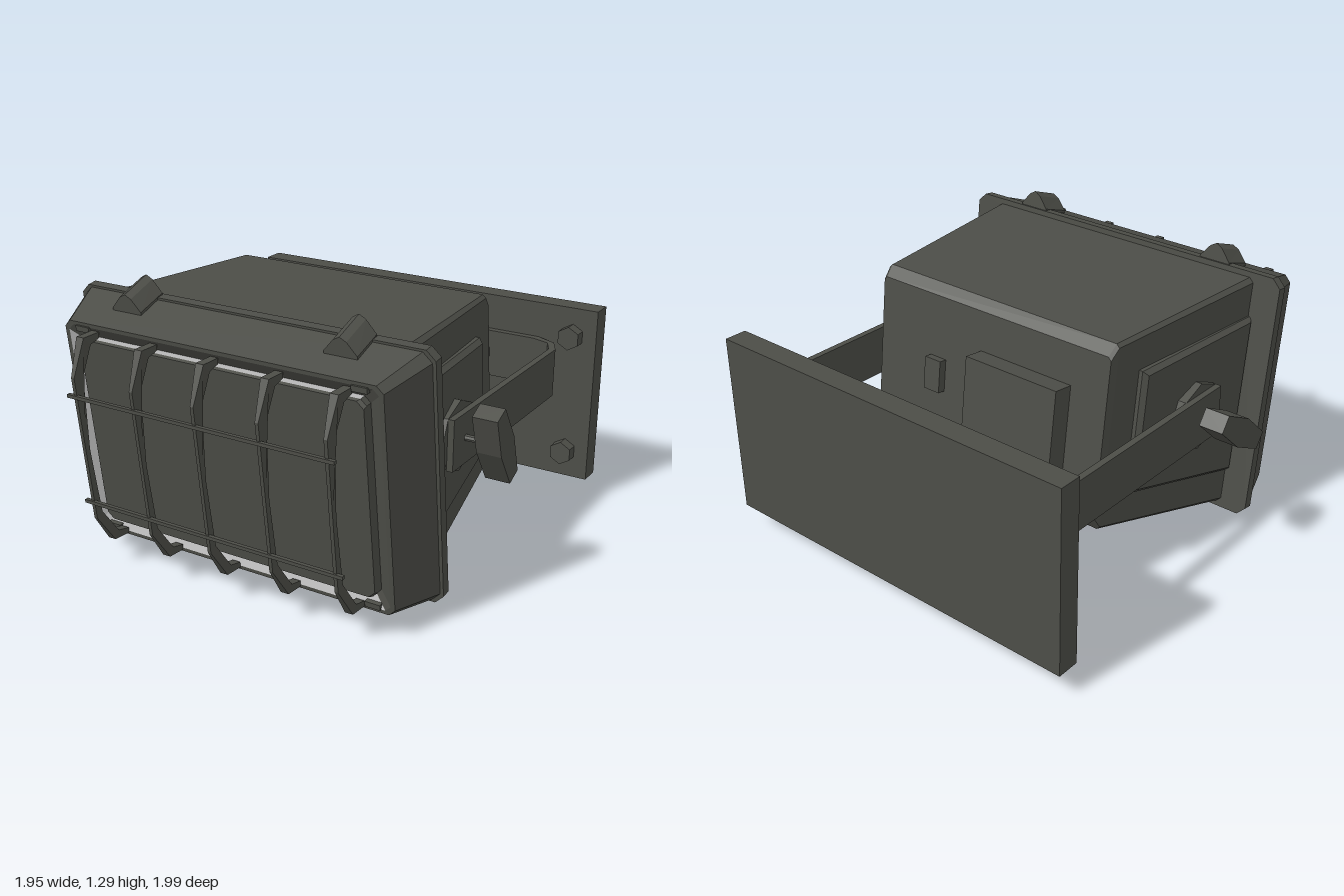
import * as THREE from 'three';

const dark = new THREE.MeshStandardMaterial({ color: 0x4c4d47 });
dark.name = 'dark grey metal';
dark.flatShading = true;
const light = new THREE.MeshStandardMaterial({ color: 0xb4b4b4 });
light.name = 'light grey reflector';
light.flatShading = true;

function add(parent, name, geometry, material = dark) {
  const mesh = new THREE.Mesh(geometry, material);
  mesh.name = name;
  parent.add(mesh);
  return mesh;
}

function box(parent, name, w, h, d, x, y, z) {
  const mesh = add(parent, name, new THREE.BoxGeometry(w, h, d));
  mesh.position.set(x, y, z);
  return mesh;
}

// Skin over chamfered rectangles [z, halfWidth, halfHeight, chamfer]
function loft(rings, { caps = '', sides = [0, 1, 2, 3, 4, 5, 6, 7] } = {}) {
  const pos = [], idx = [];
  for (const [z, w, h, c] of rings) {
    pos.push(w, c - h, z, w, h - c, z, w - c, h, z, c - w, h, z,
      -w, h - c, z, -w, c - h, z, c - w, -h, z, w - c, -h, z);
  }
  for (let r = 0; r < rings.length - 1; r++) {
    for (const i of sides) {
      const a = r * 8 + i, b = r * 8 + (i + 1) % 8;
      idx.push(a, b, b + 8, a, b + 8, a + 8);
    }
  }
  const last = (rings.length - 1) * 8;
  for (let i = 1; i < 7; i++) {
    if (caps.includes('back')) idx.push(0, i + 1, i);
    if (caps.includes('front')) idx.push(last, last + i, last + i + 1);
  }
  const g = new THREE.BufferGeometry();
  g.setAttribute('position', new THREE.Float32BufferAttribute(pos, 3));
  g.setIndex(idx);
  const flat = g.toNonIndexed();
  flat.computeVertexNormals();
  return flat;
}

function extrude(points, depth, bevel = 0) {
  const shape = new THREE.Shape(points.map(([x, y]) => new THREE.Vector2(x, y)));
  return new THREE.ExtrudeGeometry(shape, {
    depth, bevelEnabled: bevel > 0, bevelThickness: bevel, bevelSize: bevel,
    bevelOffset: -bevel, bevelSegments: 1,
  });
}

// Lamp head, tilted a little downwards
function buildHead() {
  const head = new THREE.Group();
  head.name = 'lampHead';
  head.position.set(0, 0.655, 0.515);
  head.rotation.x = 0.125;

  add(head, 'housing', loft([
    [-0.888, 0.635, 0.368, 0.015], [-0.85, 0.642, 0.417, 0.015], [0.01, 0.735, 0.55, 0.02],
  ], { caps: 'back' }));

  add(head, 'bezel', loft([
    [-0.01, 0.72, 0.53, 0.02], [-0.01, 0.865, 0.572, 0.04], [0.035, 0.865, 0.572, 0.04],
    [0.035, 0.85, 0.562, 0.04], [0.265, 0.77, 0.512, 0.03], [0.265, 0.75, 0.495, 0.025],
  ]));

  // Shallow groove around the glass
  const groove = [[0.265, 0.75, 0.495, 0.025], [0.235, 0.695, 0.444, 0.025]];
  add(head, 'grooveDark', loft(groove, { sides: [0, 1, 2, 3, 7] }));
  add(head, 'grooveLight', loft(groove, { sides: [4, 5, 6] }), light);

  // Glass standing slightly proud, with a bright upper edge
  const edge = [[0.235, 0.695, 0.444, 0.025], [0.265, 0.695, 0.444, 0.025]];
  add(head, 'glassEdge', loft(edge, { sides: [0, 1, 3, 4, 5, 6, 7] }));
  add(head, 'glassTopEdge', loft(edge, { sides: [2] }), light);
  add(head, 'glass', loft([
    [0.265, 0.695, 0.444, 0.025], [0.28, 0.69, 0.44, 0.03],
  ], { caps: 'front' }));

  // Lugs on the bezel, lower towards the front
  const lug = extrude([[-0.075, 0.5], [0.075, 0.5], [0.075, 0.58], [0.03, 0.635],
    [0, 0.652], [-0.03, 0.635], [-0.075, 0.58]], 0.15);
  const lp = lug.attributes.position;
  for (let i = 0; i < lp.count; i++) lp.setY(i, lp.getY(i) * (1 - 0.35 * lp.getZ(i)));
  lug.computeVertexNormals();
  for (const x of [-0.52, 0.52]) {
    for (const turn of [0, Math.PI]) {
      const m = add(head, 'bezelLug', lug);
      m.position.x = x;
      m.rotation.z = turn;
    }
  }

  // Glass clips in the corners
  for (const x of [-0.67, 0.67]) {
    for (const y of [-0.485, 0.485]) box(head, 'glassClip', 0.07, 0.025, 0.03, x, y, 0.258);
  }

  // Raised side panels
  const panel = extrude([[0, -0.375], [0.715, -0.278], [0.715, 0.278], [0, 0.375]], 0.025, 0.02);
  panel.rotateY(Math.PI / 2);
  for (const side of [1, -1]) {
    const half = new THREE.Group();
    half.name = 'sidePanelGroup';
    half.scale.x = side;
    const m = add(half, 'sidePanel', panel);
    m.position.x = 0.715;
    m.rotation.y = 0.09;
    head.add(half);
  }

  // Back details
  box(head, 'rearBox', 0.49, 0.38, 0.11, -0.205, 0, -0.93);
  box(head, 'rearClip', 0.09, 0.15, 0.05, 0.285, 0.01, -0.9);
  return head;
}

// Wire guard in front of the glass
function buildGuard() {
  const guard = new THREE.Group();
  guard.name = 'wireGuard';
  const bar = extrude([
    [0.83, 1.1], [0.925, 1.1], [0.985, 0.94], [0.945, 0.6], [0.905, 0.27], [0.81, 0.13],
    [0.72, 0.125], [0.72, 0.15], [0.785, 0.165], [0.87, 0.29], [0.92, 0.6], [0.93, 0.93],
    [0.885, 1.06], [0.83, 1.075],
  ].map(([z, y]) => [-z, y]), 0.016);
  bar.translate(0, 0, -0.008);
  bar.rotateY(Math.PI / 2);
  // Bars flare towards their ends
  const p = bar.attributes.position;
  for (let i = 0; i < p.count; i++) {
    const y = p.getY(i);
    if (y > 1 || y < 0.2) p.setX(i, p.getX(i) * 2.4);
  }
  bar.computeVertexNormals();
  for (let i = -2; i <= 2; i++) add(guard, 'guardBar', bar).position.x = i * 0.306;
  box(guard, 'guardRail', 1.3, 0.015, 0.018, 0, 0.855, 0.976);
  box(guard, 'guardRail', 1.3, 0.015, 0.018, 0, 0.35, 0.915);
  return guard;
}

// U-shaped bracket with pivots and knobs
function buildBracket() {
  const bracket = new THREE.Group();
  bracket.name = 'bracket';
  const outer = [[0.785, 0.28], [0.785, -0.76], [0.74, -0.85], [0.64, -0.895]];
  const inner = [[0.755, 0.28], [0.755, -0.75], [0.715, -0.83], [0.63, -0.86]];
  const flip = (pts) => pts.map(([x, z]) => [-x, z]).reverse();
  const outline = [...outer, ...flip(outer), ...flip(inner).reverse(), ...inner.slice().reverse()];
  const arm = extrude(outline.map(([x, z]) => [x, -z]), 0.23);
  arm.rotateX(-Math.PI / 2);
  add(bracket, 'bracketStrap', arm).position.y = 0.58;

  // Long six-sided knobs, each turned to its own angle
  const knob = extrude([[-0.04, -0.18], [0.04, -0.18], [0.065, 0], [0.04, 0.18],
    [-0.04, 0.18], [-0.065, 0]], 0.113);
  knob.rotateY(Math.PI / 2);
  for (const [side, tilt] of [[1, 0.44], [-1, -0.96]]) {
    const half = new THREE.Group();
    half.name = 'pivot';
    half.scale.x = side;
    half.position.set(0, 0.697, 0.167);
    const boss = add(half, 'pivotBoss', new THREE.CylinderGeometry(0.16, 0.16, 0.05, 8));
    boss.rotation.z = Math.PI / 2;
    boss.position.x = 0.732;
    const rod = add(half, 'pivotRod', new THREE.CylinderGeometry(0.015, 0.015, 0.14, 8));
    rod.rotation.z = Math.PI / 2;
    rod.position.x = 0.81;
    const k = add(half, 'knob', knob);
    k.position.x = 0.862;
    k.rotation.x = tilt;
    bracket.add(half);
  }
  return bracket;
}

// Wall plate with hexagonal bolts
function buildMount() {
  const mount = new THREE.Group();
  mount.name = 'wallMount';
  box(mount, 'wallPlate', 1.86, 0.855, 0.105, 0, 0.553, -0.9475);
  const bolt = new THREE.CylinderGeometry(0.057, 0.057, 0.06, 6);
  bolt.rotateX(Math.PI / 2);
  for (const x of [-1, 1]) {
    for (const y of [0.26, 0.845]) add(mount, 'plateBolt', bolt).position.set(x * 0.812, y, -0.867);
    add(mount, 'bracketBolt', bolt).position.set(x * 0.355, 0.695, -0.832);
  }
  return mount;
}

export function createModel() {
  const model = new THREE.Group();
  model.name = 'floodlight';
  model.add(buildHead(), buildGuard(), buildBracket(), buildMount());
  return model;
}
